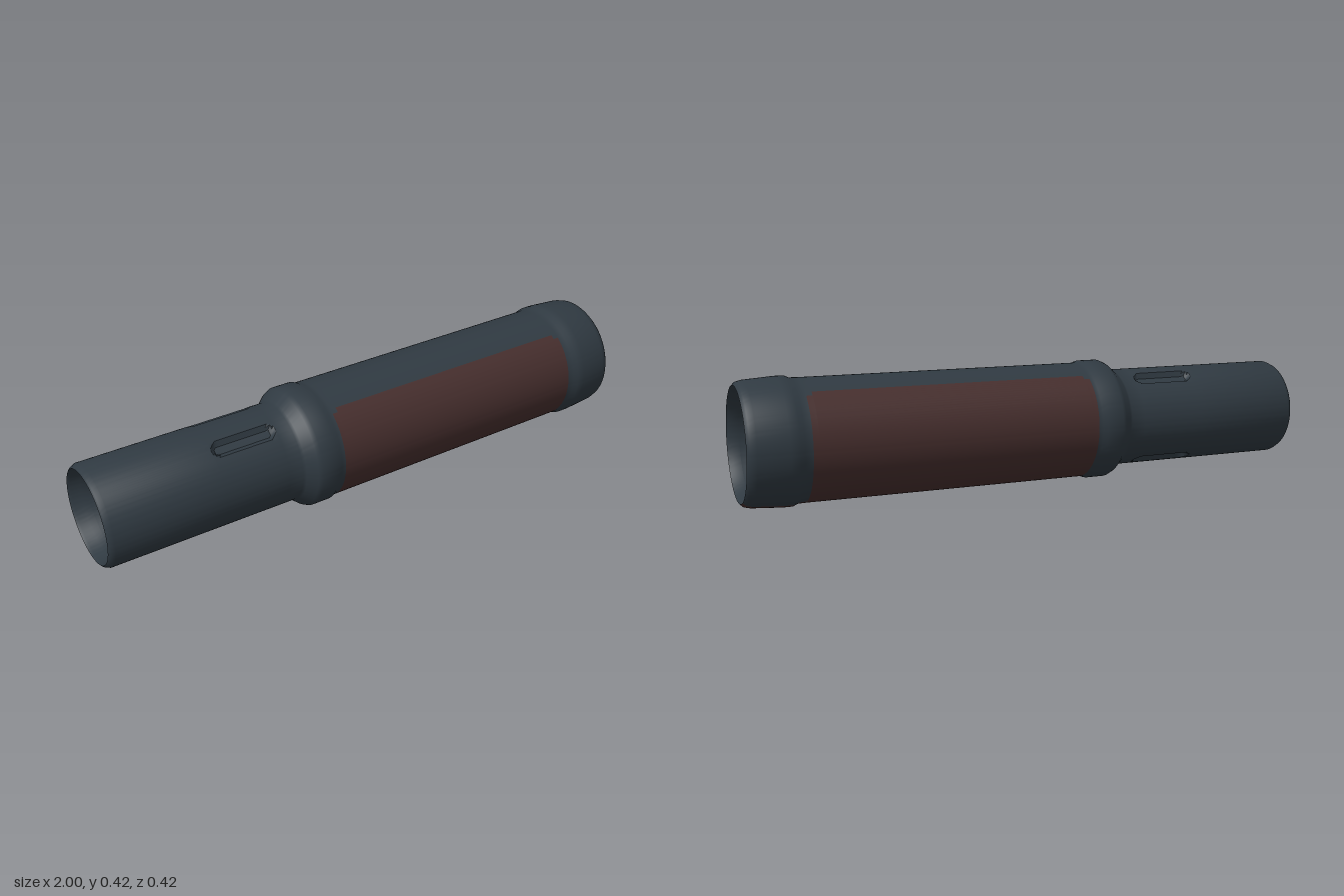
import * as THREE from 'three';
import { toCreasedNormals } from 'three/addons/utils/BufferGeometryUtils.js';

const AXIS_Y = 0.21;
const SEGMENTS = 144;
const DEG = Math.PI / 180;

// Depth of the four rounded slots pressed into the narrow tube.
function slotDepth(x, angle) {
  let depth = 0;
  for (const centre of [30, 150, 210, 330]) {
    const across = (angle - centre) * DEG * 0.17;
    const along = Math.max(0, Math.abs(x + 0.49) - 0.085);
    const inside = 0.027 - Math.hypot(across, along);
    depth = Math.max(depth, 0.016 * THREE.MathUtils.clamp(inside / 0.009, 0, 1));
  }
  return depth;
}

// Brown wraps the sides and underside of the grip, and a strip under the collar.
function isGrip(x, angle) {
  const fromTop = Math.min(angle, 360 - angle);
  if (x > 0.8) return fromTop > 155;
  if (x < -0.18) return false;
  const edge = x < -0.16 || x > 0.78 ? 37 : 33;
  return fromTop > edge;
}

// Sweeps [x, radius] stations around the long axis, sorting faces by colour.
function sweep(profile, depthAt, accent) {
  const positions = [];
  const faces = [[], []];
  const row = SEGMENTS;
  profile.forEach(([x, r], i) => {
    for (let j = 0; j < row; j++) {
      const angle = (j * 360) / row;
      const radius = r - depthAt(x, angle);
      positions.push(x, AXIS_Y + radius * Math.cos(angle * DEG), radius * Math.sin(angle * DEG));
      if (i === profile.length - 1) continue;
      const a = i * row + j;
      const b = i * row + ((j + 1) % row);
      const middle = (x + profile[i + 1][0]) / 2;
      const list = faces[accent(middle, angle + 180 / row) ? 1 : 0];
      list.push(a, b, a + row, b, b + row, a + row);
    }
  });
  const geometry = new THREE.BufferGeometry();
  geometry.setAttribute('position', new THREE.Float32BufferAttribute(positions, 3));
  geometry.setIndex([...faces[0], ...faces[1]]);
  geometry.addGroup(0, faces[0].length, 0);
  if (faces[1].length) geometry.addGroup(faces[0].length, faces[1].length, 1);
  return toCreasedNormals(geometry, 0.6);
}

export function createModel() {
  const slate = new THREE.MeshStandardMaterial({ color: 0x303a42 });
  slate.name = 'slate';
  const brown = new THREE.MeshStandardMaterial({ color: 0x472f2e });
  brown.name = 'dark brown';

  // Outside: narrow tube, flared shoulder, long grip and end collar
  const outer = [[-1, 0.158], [-0.995, 0.164], [-0.98, 0.171]];
  for (const x of [-0.605, -0.597, -0.589, -0.58, -0.57, -0.41, -0.4, -0.391, -0.383, -0.375]) {
    outer.push([x, 0.171]);
  }
  outer.push(
    [-0.325, 0.171], [-0.315, 0.176], [-0.285, 0.202], [-0.27, 0.209], [-0.21, 0.209],
    [-0.195, 0.203], [-0.18, 0.202], [-0.16, 0.202], [0.78, 0.202], [0.8, 0.202],
    [0.825, 0.203], [0.84, 0.21], [0.87, 0.21], [0.97, 0.203], [0.99, 0.198], [1, 0.188],
  );

  // Inside: end lips, wide bore and a step down to the narrow bore
  const inner = [
    [1, 0.188], [0.985, 0.182], [0.96, 0.178], [-0.26, 0.175], [-0.32, 0.14],
    [-0.94, 0.14], [-0.96, 0.15], [-0.99, 0.153], [-1, 0.158],
  ];

  const group = new THREE.Group();
  group.name = 'hollowHandle';
  const shell = new THREE.Mesh(sweep(outer, slotDepth, isGrip), [slate, brown]);
  shell.name = 'slottedShellWithGrip';
  const bore = new THREE.Mesh(sweep(inner, () => 0, () => false), slate);
  bore.name = 'bore';
  group.add(shell, bore);
  return group;
}
